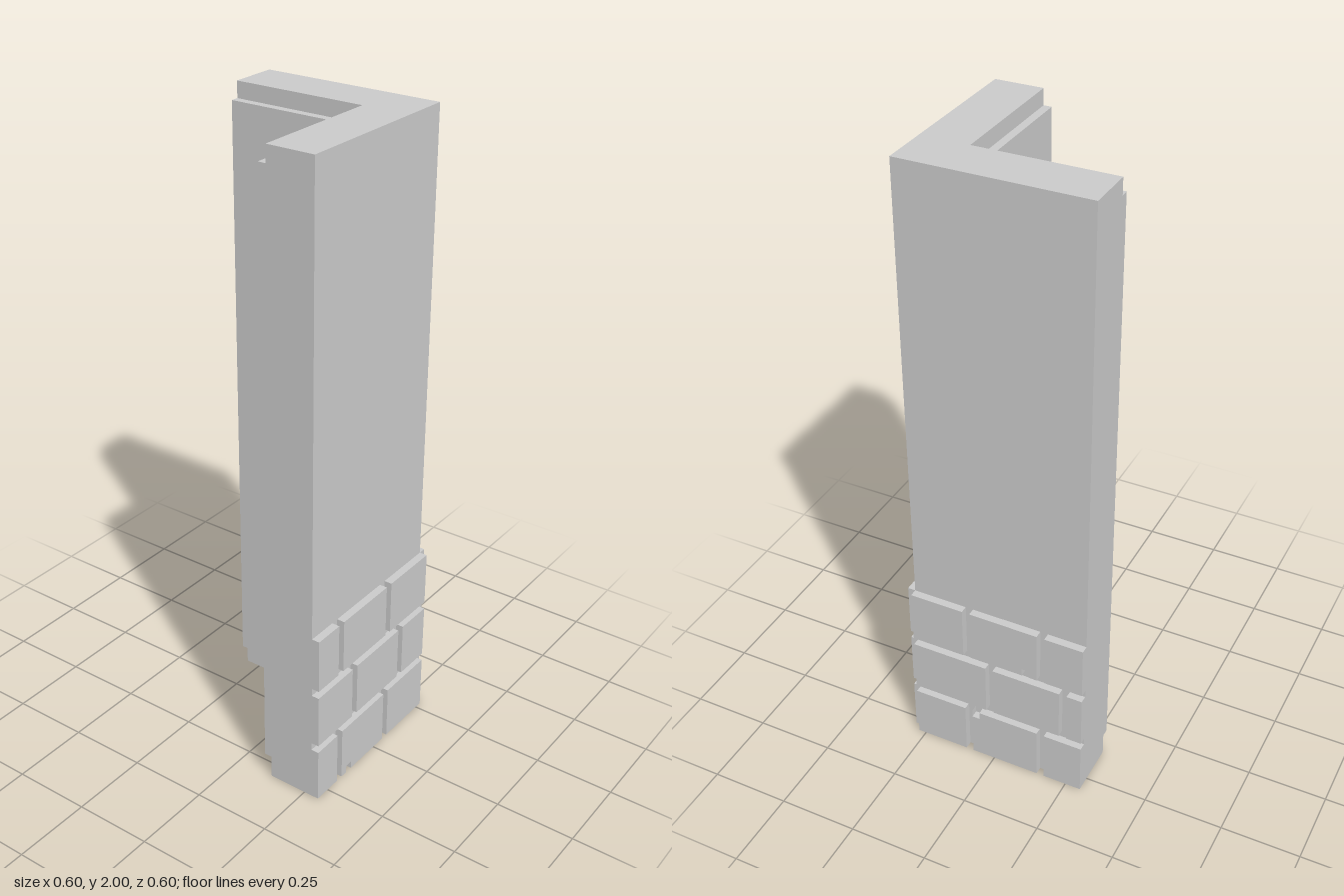
import * as THREE from 'three';

const material = new THREE.MeshStandardMaterial({ color: 0xcccccc, flatShading: true });
const OUT = 0.275, END = 0.3, DEPTH = 0.025;

// Extrude a closed 2D outline; y is the plan's -z when laid flat
function extrude(points, depth) {
  const shape = new THREE.Shape(points.map(([a, b]) => new THREE.Vector2(a, b)));
  return new THREE.ExtrudeGeometry(shape, { depth, bevelEnabled: false });
}

// L-shaped plan, with its inner faces at the given offset
function wallLayer(name, inner, y0, y1) {
  const geometry = extrude([
    [-END, inner], [inner, inner], [inner, -END],
    [OUT, -END], [OUT, OUT], [-END, OUT],
  ], y1 - y0);
  geometry.rotateX(-Math.PI / 2);
  const mesh = new THREE.Mesh(geometry, material);
  mesh.name = name;
  mesh.position.y = y0;
  return mesh;
}

// Brick outline from a to b, with an optional square chip in its top or bottom edge
function brickOutline(a, b, y0, y1, chip) {
  const points = [[a, y0]];
  if (chip && !chip.top) {
    points.push([chip.at, y0], [chip.at, y0 + DEPTH], [chip.at + DEPTH, y0 + DEPTH], [chip.at + DEPTH, y0]);
  }
  points.push([b, y0], [b, y1]);
  if (chip && chip.top) {
    if (chip.at + DEPTH < b) points.push([chip.at + DEPTH, y1]);
    else points.pop();
    points.push([chip.at + DEPTH, y1 - DEPTH], [chip.at, y1 - DEPTH], [chip.at, y1]);
  }
  points.push([a, y1]);
  return points;
}

// Three courses of bricks on one face; u runs along the face
function brickFace(name, courses) {
  const face = new THREE.Group();
  face.name = name;
  courses.forEach((bricks, row) => {
    bricks.forEach(([a, b, chip]) => {
      const y0 = row * 0.2;
      const mesh = new THREE.Mesh(extrude(brickOutline(a, b, y0, y0 + 0.175, chip), DEPTH), material);
      mesh.name = 'brick';
      face.add(mesh);
    });
  });
  return face;
}

export function createModel() {
  const model = new THREE.Group();
  model.name = 'cornerWall';

  // Wall with rebated inner edges at foot and head
  model.add(
    wallLayer('wallFoot', 0.125, 0, 0.075),
    wallLayer('wallBody', 0.1, 0.075, 1.95),
    wallLayer('wallHead', 0.125, 1.95, 2),
  );

  // Right-hand brick face: u = -z
  const sideEnds = [[-0.3, -0.2], [0.075, 0.275]];
  const side = brickFace('sideBricks', [
    [...sideEnds, [-0.175, 0.05, { at: -0.15 }]],
    [[-0.3, -0.125], [-0.1, 0.125], [0.15, 0.275]],
    [...sideEnds, [-0.175, 0.05]],
  ]);
  side.rotation.y = Math.PI / 2;
  side.position.x = OUT;

  // Back brick face: u = -x
  const backEnds = [[-0.275, -0.1], [0.175, 0.3]];
  const back = brickFace('backBricks', [
    [...backEnds, [-0.075, 0.15, { at: -0.075, top: true }]].map(([a, b, c]) => [a, b, c]),
    [[-0.275, -0.025], [0, 0.225], [0.25, 0.3]],
    [...backEnds, [-0.075, 0.15, { at: 0.1 }]],
  ]);
  back.rotation.y = Math.PI;
  back.position.z = -OUT;

  model.add(side, back);
  return model;
}
